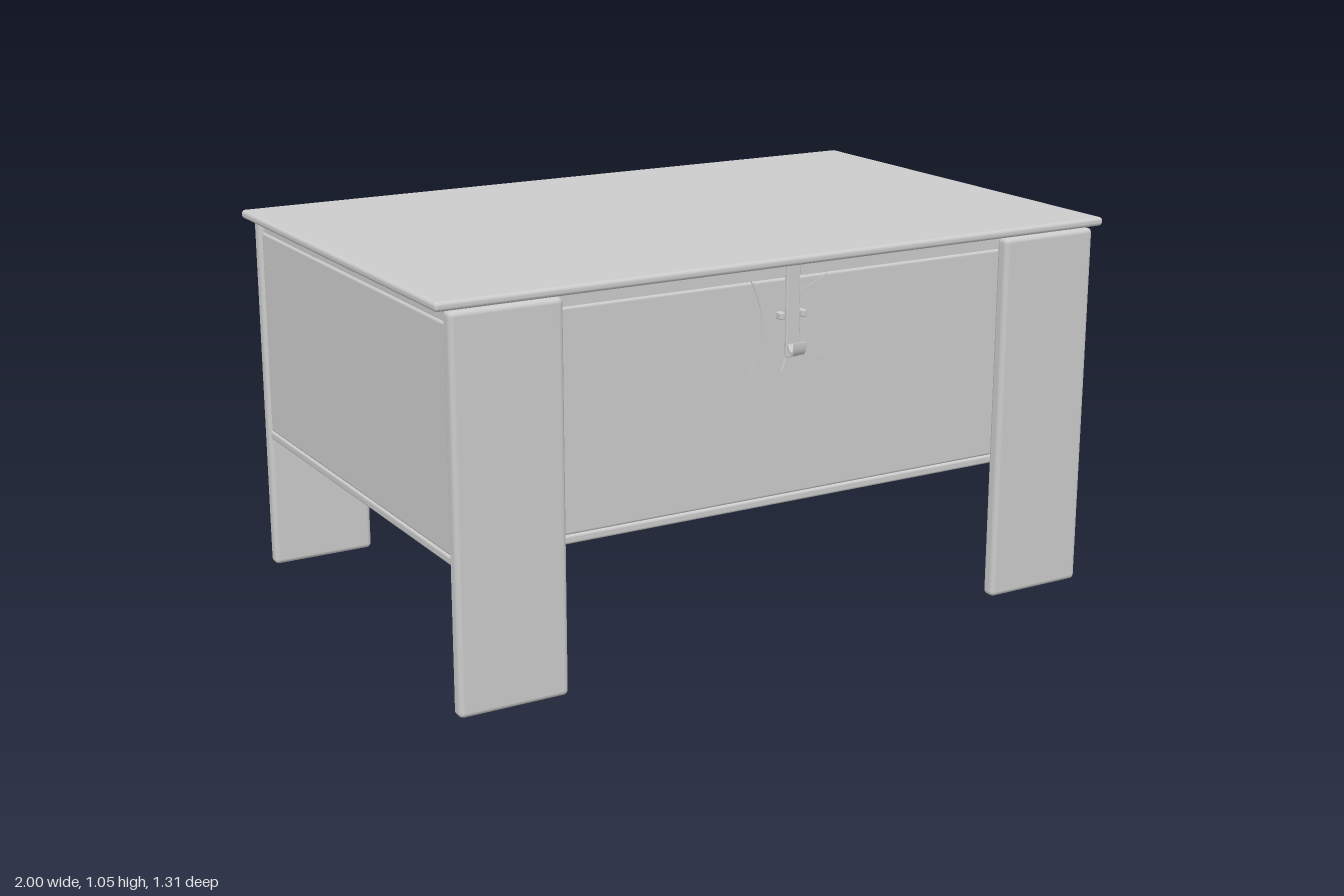
import * as THREE from 'three';
import { RoundedBoxGeometry } from 'three/addons/geometries/RoundedBoxGeometry.js';

const material = new THREE.MeshStandardMaterial({ color: 0xcccccc });

export function createModel() {
  const model = new THREE.Group();

  function add(name, geometry, parent = model) {
    const mesh = new THREE.Mesh(geometry, material);
    mesh.name = name;
    parent.add(mesh);
    return mesh;
  }

  // Rounded board given by its minimum and maximum corners
  function board(name, [x0, y0, z0], [x1, y1, z1], radius, parent = model) {
    const geometry = new RoundedBoxGeometry(x1 - x0, y1 - y0, z1 - z0, 3, radius);
    geometry.translate((x0 + x1) / 2, (y0 + y1) / 2, (z0 + z1) / 2);
    return add(name, geometry, parent);
  }

  // Shape in x-y pushed forward along z
  function plate(name, shape, z, depth, parent) {
    const geometry = new THREE.ExtrudeGeometry(shape, { depth, bevelEnabled: false, curveSegments: 10 });
    geometry.translate(0, 0, z);
    return add(name, geometry, parent);
  }

  // Lid
  board('lid', [-1, 1.022, -0.656], [1, 1.046, 0.642], 0.01);

  // Four flat board legs
  for (const [side, x0, x1] of [['left', 0.665, 0.965], ['right', -0.965, -0.665]]) {
    board(side + 'FrontLeg', [x0, 0, 0.6], [x1, 1.02, 0.642], 0.014);
    board(side + 'BackLeg', [x0, 0, -0.656], [x1, 1.02, -0.615], 0.014);
  }

  // Hollow chest: floor, four walls and a slightly inset rim below the lid
  const chest = new THREE.Group();
  chest.name = 'chest';
  model.add(chest);
  board('floor', [-0.96, 0.383, -0.62], [0.96, 0.407, 0.605], 0.007, chest);
  for (const [name, y0, y1, inset] of [['Wall', 0.405, 0.985, 0], ['Rim', 0.97, 1.024, 0.005]]) {
    const x = 0.957 - inset, front = 0.601 - inset, back = -0.617 + inset, t = 0.03;
    board('front' + name, [-x, y0, front - t], [x, y1, front], 0.008, chest);
    board('back' + name, [-x, y0, back], [x, y1, back + t], 0.008, chest);
    board('left' + name, [x - t, y0, back], [x, y1, front], 0.008, chest);
    board('right' + name, [-x, y0, back], [-x + t, y1, front], 0.008, chest);
  }

  // Clasp on the front
  const clasp = new THREE.Group();
  clasp.name = 'clasp';
  model.add(clasp);

  // Backing plate with four concave sides
  const backing = new THREE.Shape();
  backing.moveTo(-0.115, 0.985);
  backing.quadraticCurveTo(0, 0.91, 0.115, 0.985);
  backing.quadraticCurveTo(0.05, 0.865, 0.115, 0.745);
  backing.quadraticCurveTo(0, 0.82, -0.115, 0.745);
  backing.quadraticCurveTo(-0.05, 0.865, -0.115, 0.985);
  plate('claspPlate', backing, 0.599, 0.004, clasp);

  // Hanging strap and its flared end
  board('claspStrap', [-0.02, 0.78, 0.612], [0.02, 1.024, 0.622], 0.003, clasp);
  const flare = new THREE.Shape();
  flare.moveTo(-0.016, 0.785);
  flare.lineTo(-0.031, 0.744);
  flare.quadraticCurveTo(0, 0.73, 0.031, 0.744);
  flare.lineTo(0.016, 0.785);
  plate('claspTab', flare, 0.612, 0.008, clasp);

  // Side pins that hold the strap
  for (const s of [-1, 1]) {
    board('claspPin', [s * 0.033 - 0.008, 0.882, 0.6], [s * 0.033 + 0.008, 0.9, 0.624], 0.003, clasp);
  }

  // Hook curling up from the strap
  const hook = new THREE.Shape();
  hook.moveTo(0.618, 0.812);
  hook.quadraticCurveTo(0.628, 0.79, 0.645, 0.79);
  hook.quadraticCurveTo(0.657, 0.798, 0.657, 0.825);
  hook.lineTo(0.652, 0.825);
  hook.quadraticCurveTo(0.65, 0.803, 0.643, 0.798);
  hook.quadraticCurveTo(0.632, 0.802, 0.624, 0.816);
  const hookGeometry = new THREE.ExtrudeGeometry(hook, { depth: 0.036, bevelEnabled: false });
  hookGeometry.rotateY(-Math.PI / 2);
  hookGeometry.translate(0.018, 0, 0);
  add('claspHook', hookGeometry, clasp);

  return model;
}
